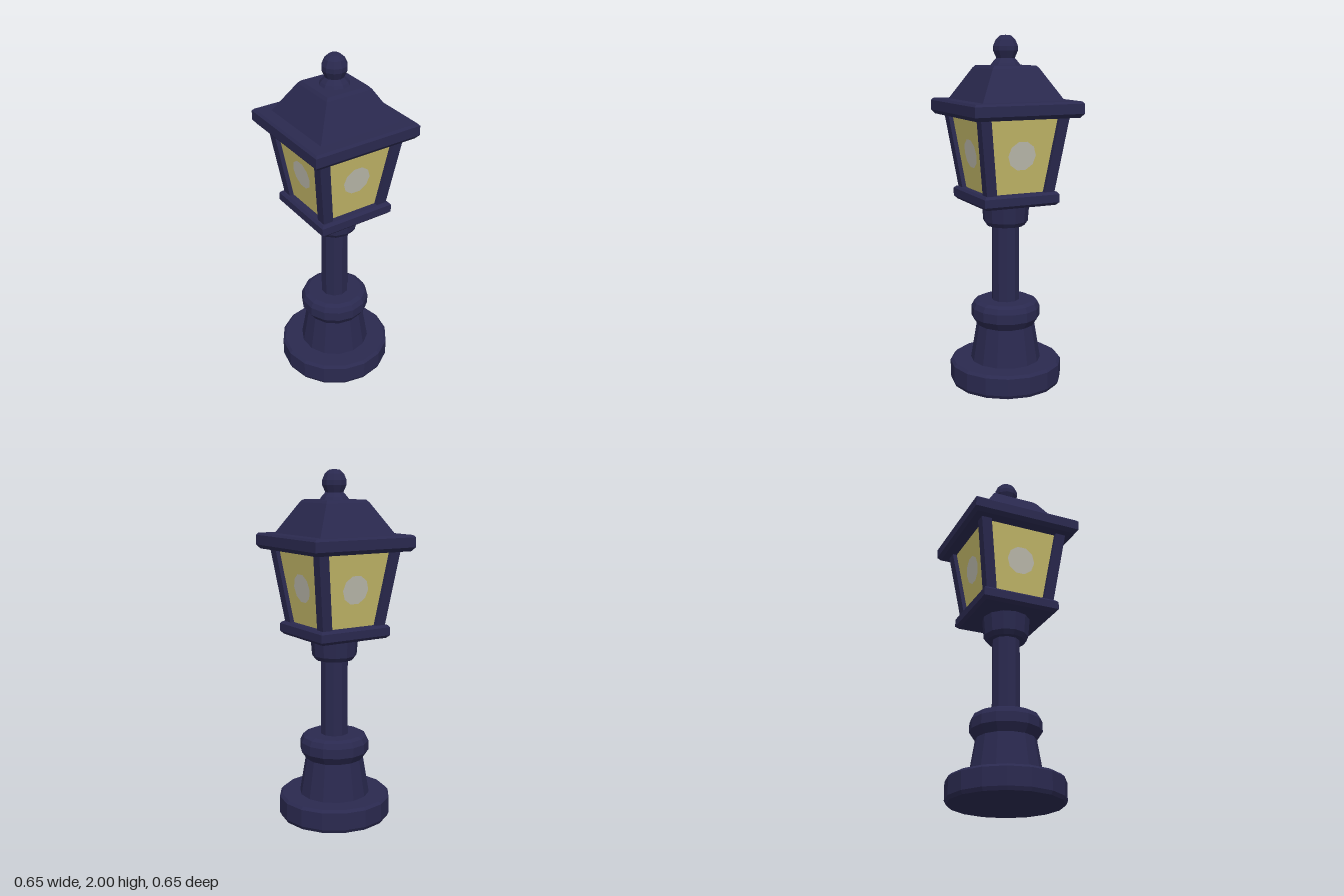
import * as THREE from 'three';

const mat = (name, color) => {
  const m = new THREE.MeshStandardMaterial({ color, flatShading: true });
  m.name = name;
  return m;
};

export function createModel() {
  const model = new THREE.Group();
  model.name = 'streetLamp';
  const iron = mat('navyIron', 0x2a294f);
  const glass = mat('yellowGlass', 0xc6ba6a);
  const glow = mat('paleGlow', 0xc0beb0);

  const add = (name, geometry, material = iron, parent = model) => {
    const mesh = new THREE.Mesh(geometry, material);
    mesh.name = name;
    parent.add(mesh);
    return mesh;
  };
  // Turned part: [radius, height] pairs from bottom to top
  const turned = (name, profile, sides) =>
    add(name, new THREE.LatheGeometry(profile.map(p => new THREE.Vector2(...p)), sides));
  // Square part: [half width, height] pairs from bottom to top
  const square = (name, profile, material) =>
    add(name, new THREE.LatheGeometry(
      profile.map(([h, y]) => new THREE.Vector2(h * Math.SQRT2, y)), 4, Math.PI / 4), material);

  // Foot and column
  turned('baseDisc', [[0, 0], [0.315, 0], [0.325, 0.02], [0.325, 0.12], [0.31, 0.135], [0, 0.135]], 16);
  turned('plinth', [[0.205, 0.13], [0.165, 0.37]], 14);
  turned('plinthCollar', [[0, 0.35], [0.17, 0.35], [0.2, 0.395], [0.2, 0.45], [0.185, 0.48], [0.16, 0.492], [0, 0.492]], 14);
  turned('pole', [[0.08, 0.48], [0.08, 0.95]], 10);
  turned('lanternCup', [[0, 0.935], [0.11, 0.935], [0.128, 0.96], [0.138, 1.075]], 12);

  // Lantern tray, panes and roof
  square('lanternTray', [[0, 1.068], [0.21, 1.068], [0.227, 1.085], [0.227, 1.13], [0.215, 1.143], [0, 1.143]]);
  square('glassPanes', [[0.18, 1.14], [0.24, 1.57]], glass);
  square('roofEaves', [[0, 1.558], [0.305, 1.558], [0.323, 1.58], [0.323, 1.635], [0.312, 1.647], [0, 1.647]]);
  square('roof', [[0.248, 1.64], [0.14, 1.82], [0.127, 1.835], [0, 1.835]]);

  // Leaning corner posts
  for (const sx of [-1, 1]) for (const sz of [-1, 1]) {
    const post = new THREE.BoxGeometry(0.06, 0.43, 0.06);
    const pos = post.attributes.position;
    for (let i = 0; i < pos.count; i++) {
      const centre = 0.205 + 0.06 * pos.getY(i) / 0.43;
      pos.setX(i, pos.getX(i) + sx * centre);
      pos.setZ(i, pos.getZ(i) + sz * centre);
    }
    add('cornerPost', post).position.y = 1.355;
  }

  // Edge rails and a bright spot on each side
  for (let i = 0; i < 4; i++) {
    const side = new THREE.Group();
    side.name = 'lanternSide';
    side.rotation.y = i * Math.PI / 2;
    model.add(side);
    const spot = add('glowSpot', new THREE.CircleGeometry(0.083, 10), glow, side);
    spot.position.set(0, 1.355, 0.214);
    spot.rotation.x = Math.atan(0.06 / 0.43);
  }

  // Finial
  turned('finial', [[0.088, 1.83], [0.075, 1.85], [0.052, 1.875], [0.07, 1.915],
    [0.07, 1.94], [0.055, 1.975], [0.03, 1.997], [0, 2]], 10);
  return model;
}
